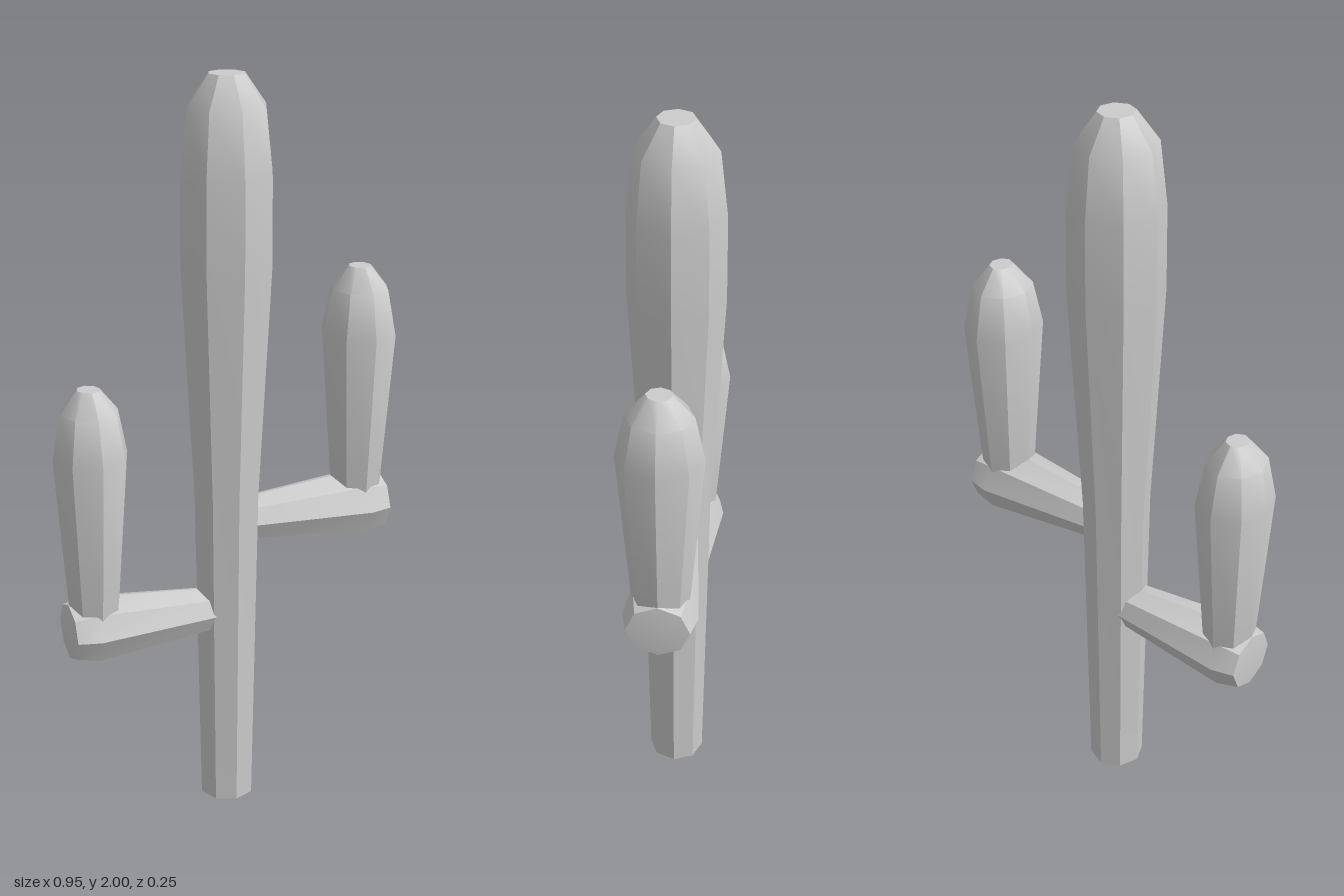
import * as THREE from 'three';
import { toCreasedNormals } from 'three/addons/utils/BufferGeometryUtils.js';

const material = new THREE.MeshStandardMaterial({ color: 0xcccccc });

// Eight-sided stem from [radius, height] pairs, crisp along its ribs
function stem(name, profile, transform = (g) => g) {
  const points = profile.map(([r, y]) => new THREE.Vector2(r, y));
  const geometry = transform(new THREE.LatheGeometry(points, 8));
  const mesh = new THREE.Mesh(toCreasedNormals(geometry, 0.62), material);
  mesh.name = name;
  return mesh;
}

// Side arm: a tapering branch that ends in an elbow, plus an upright
function arm(name, side, y) {
  const group = new THREE.Group();
  group.name = name;
  group.add(
    stem('branch', [[0, 0.03], [0.061, 0.03], [0.097, 0.385], [0.082, 0.446], [0, 0.453]],
      (g) => g.rotateZ(-Math.PI / 2).scale(1, 0.94, 1)),
    stem('upright', [[0, 0], [0.062, 0], [0.07, 0.08], [0.1, 0.485], [0.077, 0.605], [0.03, 0.665], [0, 0.665]],
      (g) => g.scale(1, 1, 1.1).translate(0.375, 0, 0)),
  );
  group.position.y = y;
  // Half a turn sends the arm to the other side
  if (side < 0) group.rotation.y = Math.PI;
  return group;
}

export function createModel() {
  const cactus = new THREE.Group();
  cactus.name = 'cactus';
  cactus.add(
    stem('trunk', [[0, 0], [0.075, 0], [0.091, 0.9], [0.125, 1.52], [0.124, 1.75], [0.105, 1.92], [0.048, 2], [0, 2]]),
    arm('leftArm', 1, 0.815),
    arm('rightArm', -1, 0.565),
  );
  return cactus;
}
